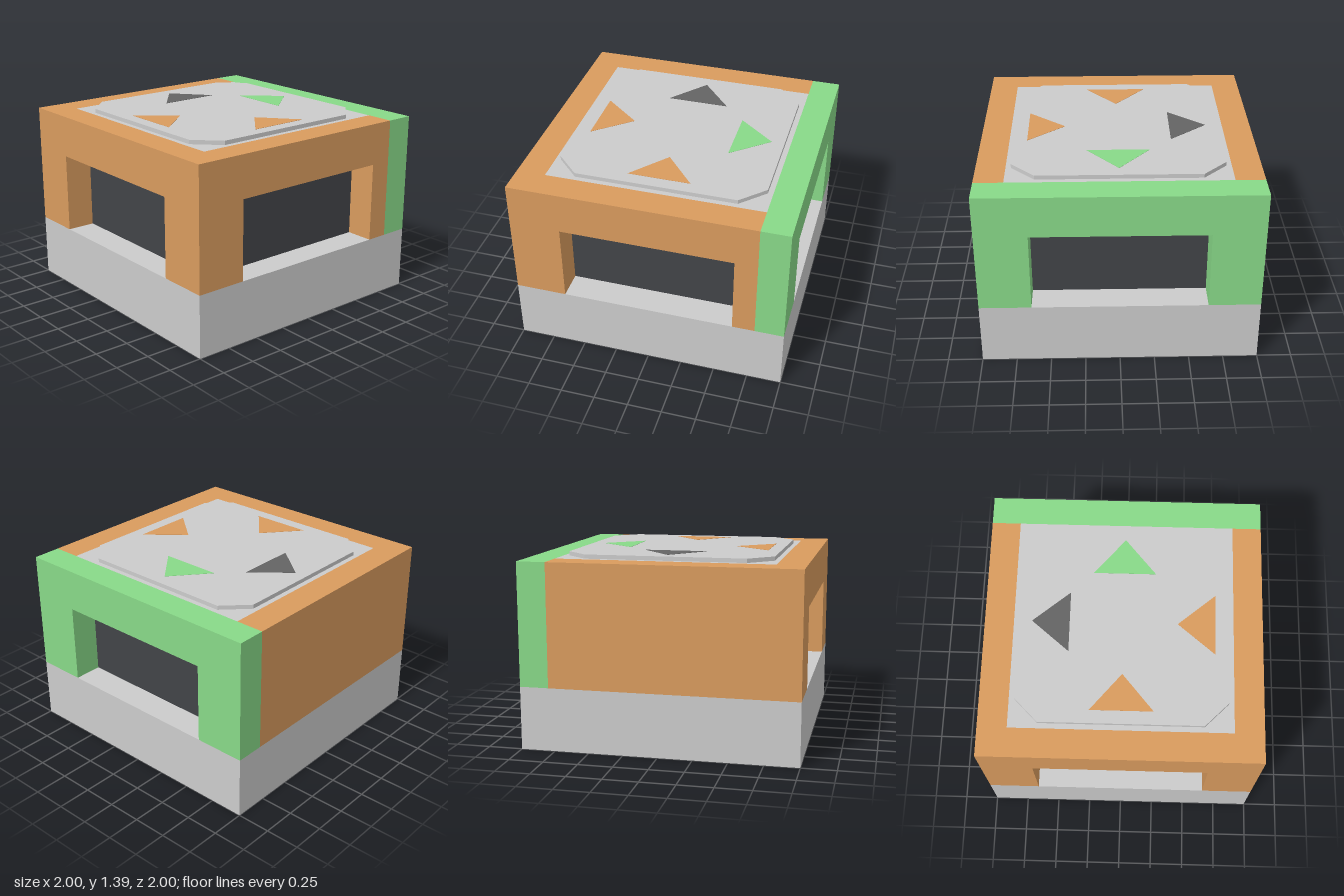
import * as THREE from 'three';

const H0 = 0.46, H1 = 1.356, TOP = 1.386; // base top, wall top, lid top
const IN = 0.79;                          // inner face of the walls
const WALL = 1 - IN;

const paint = (color) => new THREE.MeshStandardMaterial({ color, flatShading: true });

export function createModel() {
  const model = new THREE.Group();
  const grey = paint(0xcccccc), brown = paint(0xd99b5e), green = paint(0x88d988);
  const dark = paint(0x424448), charcoal = paint(0x646464);

  const add = (name, geometry, material) => {
    const mesh = new THREE.Mesh(geometry, material);
    mesh.name = name;
    model.add(mesh);
    return mesh;
  };
  const slab = (name, half, y0, y1, material) => {
    const mesh = add(name, new THREE.BoxGeometry(half * 2, y1 - y0, half * 2), material);
    mesh.position.y = (y0 + y1) / 2;
  };

  // Wall facing +z before turning, with an optional doorway open at the bottom
  const wall = (name, half, turn, material, open) => {
    const pts = [[-half, H0], [-half, H1], [half, H1], [half, H0]];
    if (open) pts.push([0.627, H0], [0.627, 1.047], [-0.627, 1.047], [-0.627, H0]);
    const shape = new THREE.Shape(pts.map(([x, y]) => new THREE.Vector2(x, y)));
    const geometry = new THREE.ExtrudeGeometry(shape, { depth: WALL, bevelEnabled: false });
    geometry.translate(0, 0, IN).rotateY(turn);
    add(name, geometry, material);
  };

  // Flat plate lying on top: outline given as [x, z]
  const plate = (name, outline, y, thickness, material) => {
    const shape = new THREE.Shape(outline.map(([x, z]) => new THREE.Vector2(x, -z)));
    const geometry = new THREE.ExtrudeGeometry(shape, { depth: thickness, bevelEnabled: false });
    geometry.rotateX(-Math.PI / 2).translate(0, y, 0);
    return add(name, geometry, material);
  };

  // Base, dark core seen through the doorways, and roof
  slab('base', 1, 0, H0, grey);
  slab('darkCore', IN, H0, H1 - 0.05, dark);
  slab('roof', IN, H1 - 0.05, H1, grey);

  // Walls: three with doorways, one solid
  wall('frontWall', 1, 0, brown, true);
  wall('backWall', 1, Math.PI, green, true);
  wall('leftWall', IN, Math.PI / 2, brown, true);
  wall('rightWall', IN, -Math.PI / 2, brown, false);

  // Eight-sided lid with cut corners
  const a = 0.752, b = 0.582;
  plate('lid', [[-b, a], [b, a], [a, b], [a, -b], [b, -a], [-b, -a], [-a, -b], [-a, b]],
    H1, TOP - H1, grey);

  // Direction arrows; each points along -z before turning
  const arrow = (name, x, z, turn, material) => {
    const r = 0.135, w = 0.226;
    const mesh = plate(name, [[0, -r], [-w, r], [w, r]], 0, 0.002, material);
    mesh.position.set(x, TOP, z);
    mesh.rotation.y = turn;
  };
  arrow('backArrow', 0, -0.522, 0, green);
  arrow('frontArrow', 0, 0.522, 0, brown);
  arrow('leftArrow', 0.522, 0, Math.PI / 2, brown);
  arrow('rightArrow', -0.522, 0, Math.PI / 2, charcoal);

  return model;
}
